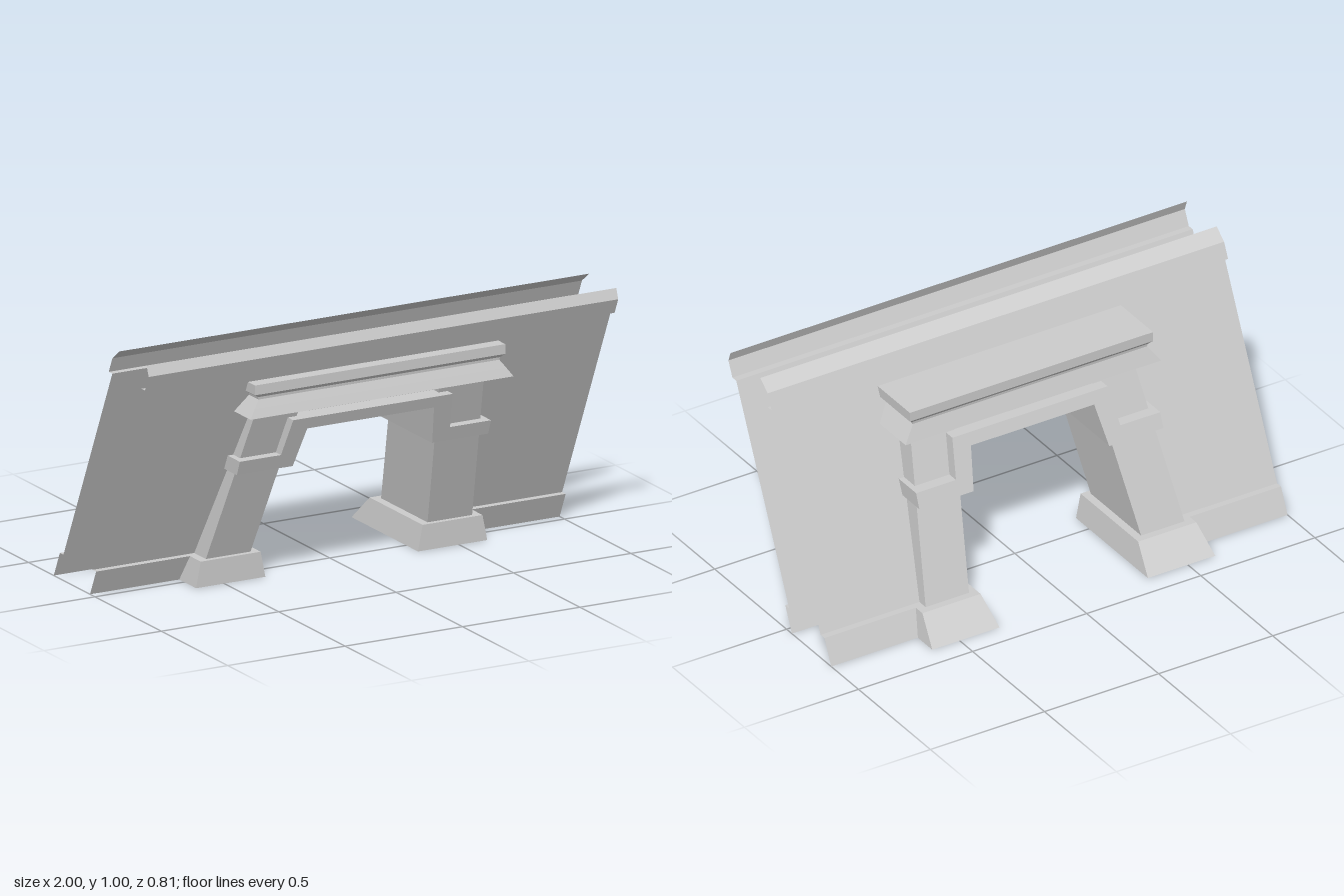
import * as THREE from 'three';

const material = new THREE.MeshStandardMaterial({ color: 0xcccccc, flatShading: true });
const sheetMaterial = new THREE.MeshStandardMaterial({ color: 0xcccccc, flatShading: true, side: THREE.DoubleSide });

// Geometry from a list of quads, each four corners counter-clockwise
function fromQuads(quads) {
  const pos = [];
  for (const [a, b, c, d] of quads) pos.push(...a, ...b, ...c, ...a, ...c, ...d);
  const g = new THREE.BufferGeometry();
  g.setAttribute('position', new THREE.Float32BufferAttribute(pos, 3));
  g.computeVertexNormals();
  return g;
}

// Closed solid through rectangular sections [y, x0, x1, z0, z1], bottom to top
function loft(sections) {
  const rings = sections.map(([y, x0, x1, z0, z1]) => [[x0, y, z1], [x1, y, z1], [x1, y, z0], [x0, y, z0]]);
  const quads = [[...rings[0]].reverse(), rings[rings.length - 1]];
  for (let i = 0; i < rings.length - 1; i++) {
    for (let j = 0; j < 4; j++) {
      const k = (j + 1) % 4;
      quads.push([rings[i][j], rings[i][k], rings[i + 1][k], rings[i + 1][j]]);
    }
  }
  return fromQuads(quads);
}

// Swap a section to the other side of the model
const onSide = (s, [y, a, b, z0, z1]) => (s > 0 ? [y, a, b, z0, z1] : [y, -b, -a, z0, z1]);

// Depth of the leaning wall surface: side +1 front, -1 back
const wallZ = (side, half, y) => -0.1735 + 0.46 * y + side * half;

// Thin leaning strip running along x, following a profile of [half depth, y]
function strip(side, profile, x0, x1) {
  const [a, b] = side > 0 ? [x0, x1] : [x1, x0];
  const quads = [];
  for (let i = 0; i < profile.length - 1; i++) {
    const [p, q] = [profile[i], profile[i + 1]].map(([h, y]) => [y, wallZ(side, h, y)]);
    quads.push([[a, ...p], [b, ...p], [b, ...q], [a, ...q]]);
  }
  return fromQuads(quads);
}

const shapeOf = (pts) => new THREE.Shape(pts.map(([x, y]) => new THREE.Vector2(x, y)));
const mirrored = (half) => [...half, ...half.map(([x, y]) => [-x, y]).reverse()];

export function createModel() {
  const model = new THREE.Group();
  const add = (name, geometry, mat = material, parent = model) => {
    const mesh = new THREE.Mesh(geometry, mat);
    mesh.name = name;
    parent.add(mesh);
  };

  // Two leaning wall skins with a doorway notch, base boards and top rails
  const OUT = 0.1365, FACE = 0.1095;
  for (const side of [1, -1]) {
    const wall = new THREE.Group();
    wall.name = side > 0 ? 'frontWall' : 'backWall';
    model.add(wall);

    const face = new THREE.ShapeGeometry(shapeOf(mirrored([[0.38, 0.65], [0.46, 0.1], [1, 0.1], [1, 0.9]])));
    const p = face.attributes.position;
    for (let i = 0; i < p.count; i++) {
      p.setXYZ(i, side * p.getX(i), p.getY(i), wallZ(side, FACE, p.getY(i)));
    }
    face.computeVertexNormals();
    add('wallPanel', face, sheetMaterial, wall);

    const base = [[OUT, 0], [OUT, 0.1], [FACE, 0.1]];
    add('leftBaseBoard', strip(side, base, 0.46, 1), sheetMaterial, wall);
    add('rightBaseBoard', strip(side, base, -1, -0.46), sheetMaterial, wall);
    add('topRail', strip(side, [[FACE, 0.9], [OUT, 0.9], [OUT, 0.96], [0.1035, 1]], -1, 1), sheetMaterial, wall);
  }

  // Door legs and their feet
  for (const s of [1, -1]) {
    const side = s > 0 ? 'left' : 'right';
    add(side + 'Foot', loft([
      [0, 0.325, 0.62, -0.41, 0.09],
      [0.1, 0.345, 0.6, -0.31, 0.09],
    ].map((r) => onSide(s, r))));
    add(side + 'Leg', loft([
      [0.1, 0.377, 0.567, -0.28, 0.07],
      [0.73, 0.295, 0.485, -0.038, 0.307],
    ].map((r) => onSide(s, r))));
  }

  // Stepped band around the top of the opening, sheared to the lean of the legs
  const band = new THREE.ExtrudeGeometry(
    shapeOf(mirrored([[0.34, 0.672], [0.36, 0.525], [0.535, 0.525], [0.535, 0.467], [0.297, 0.467], [0.27, 0.625]]).reverse()),
    { depth: 0.432, bevelEnabled: false });
  const b = band.attributes.position;
  for (let i = 0; i < b.count; i++) b.setZ(i, b.getZ(i) - 0.186 + 0.39 * (b.getY(i) - 0.465));
  band.computeVertexNormals();
  add('doorBand', band);

  // Cornice: flared skirt, narrow neck and flat cap
  add('cornice', loft([
    [0.725, 0.56, -0.13, 0.395],
    [0.76, 0.535, -0.117, 0.382],
    [0.79, 0.513, -0.106, 0.37],
    [0.8, 0.515, -0.107, 0.371],
    [0.812, 0.533, -0.116, 0.38],
    [0.85, 0.533, -0.116, 0.38],
  ].map(([y, x, z0, z1]) => [y, -x, x, z0, z1])));

  return model;
}
